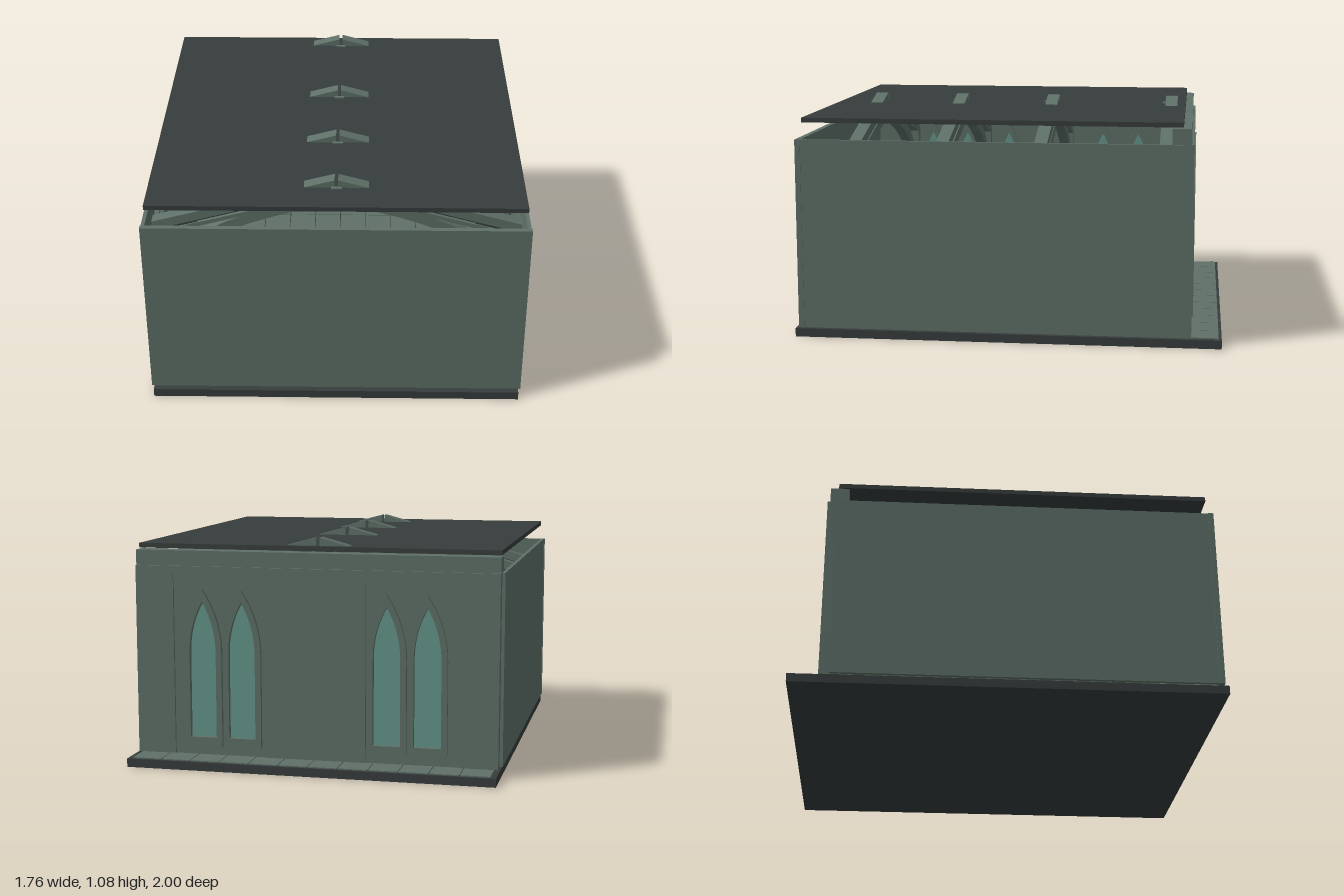
import * as THREE from 'three';

const mat = (name, color, side = THREE.FrontSide) => {
  const m = new THREE.MeshStandardMaterial({ color, side });
  m.name = name;
  return m;
};

export function createModel() {
  const root = new THREE.Group();
  root.name = 'chapelHall';
  const stone = mat('greyGreenStone', 0x5f7169);
  const dark = mat('darkSlate', 0x373d3c);
  const glass = mat('tealGlass', 0x65968a, THREE.DoubleSide);

  const add = (name, geo, m, parent = root) => {
    const mesh = new THREE.Mesh(geo, m);
    mesh.name = name;
    parent.add(mesh);
    return mesh;
  };
  // Box given by its lower and upper corners
  const box = (name, m, x0, x1, y0, y1, z0, z1, parent) => {
    const mesh = add(name, new THREE.BoxGeometry(x1 - x0, y1 - y0, z1 - z0), m, parent);
    mesh.position.set((x0 + x1) / 2, (y0 + y1) / 2, (z0 + z1) / 2);
    return mesh;
  };
  const extrude = (name, shape, m, z0, z1, parent) => {
    const geo = new THREE.ExtrudeGeometry(shape, { depth: z1 - z0, bevelEnabled: false, curveSegments: 10 });
    geo.translate(0, 0, z0);
    return add(name, geo, m, parent);
  };
  const polygon = pts => new THREE.Shape(pts.map(p => new THREE.Vector2(p[0], p[1])));
  // Pointed window outline
  const lancet = (Type, cx, w, bottom, spring, apex) => {
    const s = new Type();
    const c = spring + (apex - spring) * 0.55;
    s.moveTo(cx - w, bottom);
    s.lineTo(cx + w, bottom);
    s.lineTo(cx + w, spring);
    s.quadraticCurveTo(cx + w, c, cx, apex);
    s.quadraticCurveTo(cx - w, c, cx - w, spring);
    s.lineTo(cx - w, bottom);
    return s;
  };
  const lancetFrame = (name, cx, z0, z1, parent) => {
    const s = lancet(THREE.Shape, cx, 0.092, 0.1, 0.53, 0.83);
    s.holes.push(lancet(THREE.Path, cx, 0.064, 0.13, 0.53, 0.775));
    return extrude(name, s, stone, z0, z1, parent);
  };

  // Base and tiled floor
  box('baseSlab', dark, -0.87, 0.87, 0, 0.04, -1, 1);
  const floor = new THREE.Group();
  floor.name = 'floorTiles';
  root.add(floor);
  for (let i = 0; i < 12; i++) {
    for (let j = 0; j < 14; j++) {
      const x = -0.846 + i * 0.141, z = -0.988 + j * 0.1385;
      box('tile', stone, x + 0.002, x + 0.139, 0.038, 0.045, z + 0.002, z + 0.1365, floor);
    }
  }

  // Plain outer walls
  box('frontWall', stone, -0.88, 0.88, 0.048, 0.94, 0.955, 0.98);
  for (const s of [-1, 1]) {
    const wall = box('sideWall', stone, -0.0085, 0.0085, 0.048, 0.94, -0.81, 0.955);
    wall.position.x = s * 0.868;
  }

  // Back wall with two pairs of pointed windows
  const centres = [-0.535, -0.345, 0.345, 0.535];
  const core = polygon([[-0.862, 0.045], [0.862, 0.045], [0.862, 1.012], [-0.862, 1.012]]);
  centres.forEach(c => core.holes.push(lancet(THREE.Path, c, 0.075, 0.115, 0.53, 0.8)));
  extrude('backWall', core, stone, -0.848, -0.76);
  box('backCentrePanel', stone, -0.245, 0.245, 0.045, 0.94, -0.86, -0.847);
  for (const s of [-1, 1]) {
    const pier = box('backPier', stone, -0.092, 0.092, 0.045, 0.94, -0.86, -0.847);
    pier.position.x = s * 0.77;
    const header = box('bayHeader', stone, -0.2165, 0.2165, 0.87, 0.94, -0.858, -0.847);
    header.position.x = s * 0.4615;
  }
  centres.forEach(c => {
    lancetFrame('windowFrame', c, -0.866, -0.835);
    const pane = new THREE.ShapeGeometry(lancet(THREE.Shape, c, 0.075, 0.115, 0.53, 0.8), 10);
    add('windowGlass', pane, glass).position.z = -0.842;
    box('windowSill', stone, c - 0.09, c + 0.09, 0.085, 0.105, -0.865, -0.84);
  });

  // Inner lancets along both side walls
  for (const s of [-1, 1]) {
    for (const z of [0.64, 0.44, 0.2, 0, -0.34, -0.54]) {
      const bay = new THREE.Group();
      bay.name = 'innerWindow';
      lancetFrame('innerWindowFrame', 0, 0, 0.02, bay);
      const pane = new THREE.ShapeGeometry(lancet(THREE.Shape, 0, 0.066, 0.125, 0.53, 0.78), 10);
      add('innerWindowGlass', pane, glass, bay).position.z = 0.006;
      bay.rotation.y = -s * Math.PI / 2;
      bay.position.set(s * 0.859, 0, z);
      root.add(bay);
    }
  }

  // Roof trusses: paired rafters, dark lining, arched braces and wall posts
  const slope = 0.27;
  const sloped = (s, x0, x1, top, thick) => {
    const y = x => top - slope * x;
    const p = [[x0, y(x0) - thick], [x1, y(x1) - thick], [x1, y(x1)], [x0, y(x0)]];
    return polygon(p.map(([x, h]) => [s * x, h]));
  };
  for (const z of [0.75, 0.33, -0.14, -0.74]) {
    const truss = new THREE.Group();
    truss.name = 'roofTruss';
    truss.position.z = z;
    root.add(truss);
    for (const s of [-1, 1]) {
      extrude('rafter', sloped(s, 0.008, 0.855, 1.08, 0.045), stone, -0.03, 0.03, truss);
      extrude('rafterLining', sloped(s, 0, 0.855, 1.035, 0.013), dark, -0.024, 0.024, truss);
      extrude('lowerRafter', sloped(s, 0, 0.855, 1.022, 0.022), stone, -0.03, 0.03, truss);
      extrude('frontRib', sloped(s, 0, 0.64, 1.03, 0.02), stone, 0.03, 0.046, truss);
      const brace = new THREE.Shape();
      brace.moveTo(s * 0.81, 0.45);
      brace.quadraticCurveTo(s * 0.78, 0.8, 0, 0.95);
      brace.lineTo(0, 0.99);
      brace.quadraticCurveTo(s * 0.8, 0.87, s * 0.85, 0.45);
      extrude('archedBrace', brace, stone, -0.025, 0.025, truss);
      const post = box('wallPost', stone, -0.024, 0.024, 0.045, 0.85, -0.03, 0.03, truss);
      post.position.x = s * 0.832;
    }
    box('ridgeBoss', stone, -0.025, 0.025, 0.96, 1.045, 0.028, 0.046, truss);
  }

  // Flat roof plate
  box('roofPlate', dark, -0.86, 0.86, 1.018, 1.04, -0.81, 0.95);

  return root;
}
